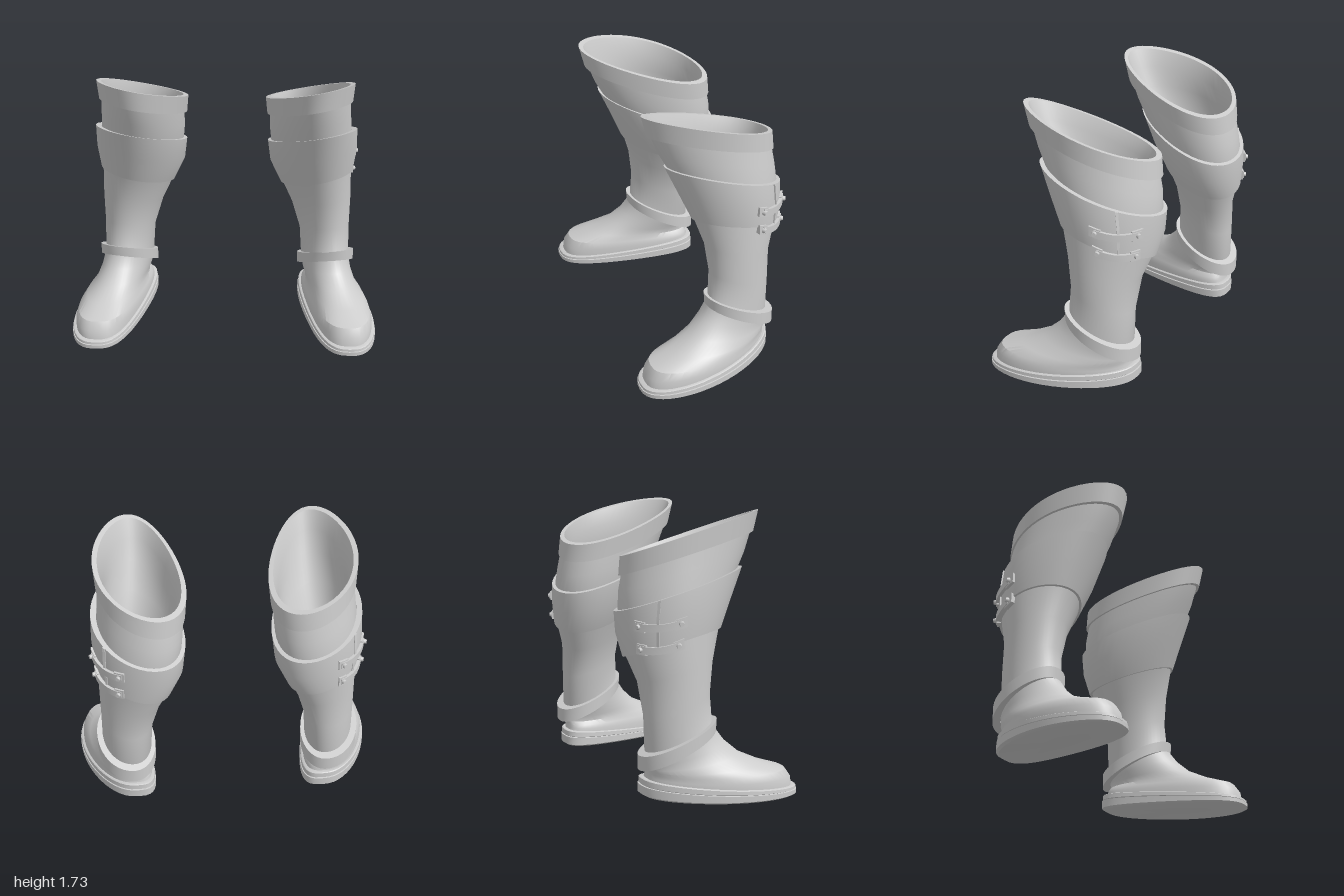
import * as THREE from 'three';
import { toCreasedNormals } from 'three/addons/utils/BufferGeometryUtils.js';

const SEG = 48;
const lerp = THREE.MathUtils.lerp;
const material = new THREE.MeshStandardMaterial({ color: 0xcccccc, side: THREE.DoubleSide });

// A ring is a tilted egg-shaped cross-section:
// [xIn, xOut, zBack, zFront, yBack, yFront, sideTilt, egg, shear, footBend, roundness]
function ringPoint(r, t) {
  const [x0, x1, z0, z1, yb, yf, tilt, egg, shear, bend, pow] = r;
  const a = (x1 - x0) / 2, h = (z1 - z0) / 2, cx = (x0 + x1) / 2, cz = (z0 + z1) / 2;
  const b = Math.sqrt(h * h - (shear * a) ** 2);
  const c = Math.cos(t), s = Math.sin(t);
  const dx = a * Math.sign(c) * Math.abs(c) ** pow * (1 - egg * s);
  const dz = b * s + shear * dx;
  const x = cx + dx + bend * (0.222 * dz - 0.2 * dz * dz);
  const y = lerp(yb, yf, (dz + h) / (2 * h)) + tilt * dx;
  return new THREE.Vector3(x, y, cz + dz);
}

const ringPoints = (r) => Array.from({ length: SEG }, (_, j) => ringPoint(r, (j / SEG) * Math.PI * 2));

// Shrink a ring within its own tilted plane
function inset(r, d) {
  const slope = (r[5] - r[4]) / (r[3] - r[2]);
  return [r[0] + d, r[1] - d, r[2] + d, r[3] - d, r[4] + slope * d, r[5] - slope * d, ...r.slice(6)];
}

const mixRings = (p, q, t) => p.map((v, i) => lerp(v, q[i], t));

// Skin a list of point loops, with optional end caps
function loft(loops, capStart = false, capEnd = false) {
  const n = loops[0].length, pts = loops.flat(), idx = [];
  for (let i = 0; i < loops.length - 1; i++) {
    for (let j = 0; j < n; j++) {
      const a = i * n + j, b = i * n + (j + 1) % n;
      idx.push(a, a + n, b, b, a + n, b + n);
    }
  }
  const cap = (row, flip) => {
    const c = new THREE.Vector3();
    loops[row].forEach((p) => c.addScaledVector(p, 1 / n));
    const k = pts.push(c) - 1;
    for (let j = 0; j < n; j++) {
      const a = row * n + j, b = row * n + (j + 1) % n;
      idx.push(k, flip ? b : a, flip ? a : b);
    }
  };
  if (capStart) cap(0, false);
  if (capEnd) cap(loops.length - 1, true);
  const g = new THREE.BufferGeometry().setFromPoints(pts);
  g.setIndex(idx);
  return toCreasedNormals(g, 0.6);
}

// Foot sections, from the sole up to the ankle
const foot = [
  [0.56, 0.96, -0.395, 0.485, 0.14, 0.05, 0, 0, 0, 1, 0.75],
  [0.56, 0.96, -0.39, 0.475, 0.16, 0.115, 0, 0, 0, 1, 0.75],
  [0.565, 0.945, -0.388, 0.44, 0.18, 0.168, 0, 0, 0, 1, 0.75],
  [0.565, 0.915, -0.388, 0.30, 0.2, 0.215, 0, 0, 0, 0.9, 0.8],
  [0.55, 0.87, -0.388, 0.16, 0.215, 0.28, 0, 0, 0.05, 0.7, 0.85],
  [0.53, 0.845, -0.392, 0.07, 0.235, 0.36, 0.05, 0, 0.1, 0.4, 0.9],
];
// Leg sections, from the ankle up to the knee
const leg = [
  [0.515, 0.83, -0.40, 0.0, 0.26, 0.46, 0.1, 0.03, 0.15, 0.1, 0.95],
  [0.497, 0.826, -0.405, -0.01, 0.53, 0.65, 0.1, 0.05, 0.15, 0, 1],
  [0.44, 0.826, -0.42, 0.015, 0.74, 0.84, 0.15, 0.08, 0.2, 0, 1],
  [0.375, 0.82, -0.47, 0.075, 0.9, 1.02, 0.25, 0.12, 0.2, 0, 1],
  [0.30, 0.81, -0.5, 0.19, 1.12, 1.3, 0.2, 0.15, 0.2, 0, 1],
  [0.285, 0.795, -0.485, 0.285, 1.28, 1.47, 0.2, 0.18, 0.25, 0, 1],
  [0.285, 0.785, -0.46, 0.34, 1.4, 1.61, 0.2, 0.2, 0.25, 0, 1],
];
// Calf band sections
const band = [
  [0.362, 0.832, -0.49, 0.089, 0.9, 1.02, 0.25, 0.12, 0.2, 0, 1],
  [0.29, 0.848, -0.514, 0.168, 1.04, 1.2, 0.2, 0.14, 0.2, 0, 1],
  [0.273, 0.842, -0.517, 0.252, 1.165, 1.385, 0.18, 0.17, 0.22, 0, 1],
];
const rimLow = [0.268, 0.8, -0.478, 0.352, 1.375, 1.59, 0.2, 0.2, 0.25, 0, 1];
const rimTop = [0.257, 0.808, -0.465, 0.385, 1.49, 1.72, 0.2, 0.2, 0.25, 0, 1];
const ankleLow = [0.485, 0.865, -0.445, 0.02, 0.21, 0.43, 0.1, 0.03, 0.15, 0, 0.95];
const ankleTop = [0.485, 0.865, -0.445, 0.025, 0.3, 0.5, 0.1, 0.03, 0.15, 0, 0.95];
const sole = (yb, yf) => [0.54, 0.983, -0.427, 0.518, yb, yf, 0, 0, 0, 1, 0.75];

// Horizontal outward direction of a ring at an angle
const outward = (r, t) =>
  new THREE.Vector3(Math.cos(t) / (r[1] - r[0]), 0, Math.sin(t) / (r[3] - r[2])).normalize();

// Curved buckle strap lying on the calf band, with a tab and rivet at each end
function buckle(level, yA, yB) {
  const r = mixRings(band[0], band[1], level), from = -0.36, to = -1.3;
  const parts = [];
  const place = (u, out, dy) => {
    const t = lerp(from, to, u), p = ringPoint(r, t).addScaledVector(outward(r, t), out);
    p.y = lerp(yA, yB, u) - 0.022 * Math.sin(u * Math.PI) + dy;
    return p;
  };
  const strip = (u0, u1, half, thick) => {
    const loops = [];
    for (let i = 0; i <= 8; i++) {
      const u = lerp(u0, u1, i / 8);
      loops.push([place(u, thick, -half), place(u, thick, half), place(u, -0.015, half), place(u, -0.015, -half)]);
    }
    return loft(loops, true, true);
  };
  parts.push(['buckleStrap', strip(0.1, 0.95, 0.022, 0.018)]);
  for (const u of [0.11, 0.89]) {
    parts.push(['buckleTab', strip(u - 0.11, u + 0.11, 0.031, 0.012)]);
    const n = outward(r, lerp(from, to, u)), p = place(u, 0.018, 0);
    const g = new THREE.CylinderGeometry(0.013, 0.019, 0.03, 10);
    g.applyQuaternion(new THREE.Quaternion().setFromUnitVectors(new THREE.Vector3(0, 1, 0), n));
    parts.push(['buckleRivet', g.translate(p.x, p.y, p.z)]);
  }
  return parts;
}

// Raised edge where the calf band overlaps
function bandSeam() {
  const loops = [], t = -0.84;
  for (let i = 0; i <= 8; i++) {
    const v = i / 4, k = Math.min(1, Math.floor(v)), r = mixRings(band[k], band[k + 1], v - k);
    const at = (angle, out) => ringPoint(r, angle).addScaledVector(outward(r, angle), out);
    loops.push([at(t - 0.05, 0.004), at(t, 0.009), at(t, -0.012), at(t - 0.05, -0.012)]);
  }
  return loft(loops, true, true);
}

// Left boot parts as [name, geometry]
function bootParts() {
  const skin = (rings, ...caps) => loft(rings.map(ringPoints), ...caps);
  const lining = [...leg].reverse().map((r) => inset(r, 0.035));
  return [
    ['outsole', skin([inset(sole(0.04, 0), 0.02), sole(0.052, 0.012), sole(0.105, 0.036), inset(sole(0.108, 0.038), 0.012)], true)],
    ['welt', skin([inset(sole(0.106, 0.036), 0.012), inset(sole(0.112, 0.04), 0.004), inset(sole(0.145, 0.054), 0.006),
      inset(sole(0.15, 0.058), 0.014), inset(sole(0.15, 0.056), 0.05)])],
    ['upper', skin([...foot, ...leg])],
    ['topCuff', skin([inset(rimLow, 0.03), rimLow, rimTop, inset(rimTop, 0.03)])],
    ['lining', skin([inset(rimTop, 0.03), ...lining, inset(foot[4], 0.04)], false, true)],
    ['calfBand', skin([inset(band[0], 0.03), ...band, inset(band[2], 0.035)])],
    ['ankleStrap', skin([inset(ankleLow, 0.05), ankleLow, ankleTop, inset(ankleTop, 0.05)])],
    ['bandSeam', bandSeam()],
    ...buckle(1, 1.125, 1.09),
    ...buckle(0.3, 0.995, 0.955),
  ];
}

// Mirror a geometry in x and keep its faces outward
function mirrored(source) {
  const g = source.clone().scale(-1, 1, 1);
  const idx = g.index ? [...g.index.array] : [...Array(g.attributes.position.count).keys()];
  g.setIndex(idx.reverse());
  return g;
}

export function createModel() {
  const model = new THREE.Group();
  model.name = 'boots';
  const parts = bootParts();
  for (const side of ['left', 'right']) {
    const boot = new THREE.Group();
    boot.name = side + 'Boot';
    for (const [name, geometry] of parts) {
      const mesh = new THREE.Mesh(side === 'left' ? geometry : mirrored(geometry), material);
      mesh.name = name;
      boot.add(mesh);
    }
    model.add(boot);
  }
  return model;
}
